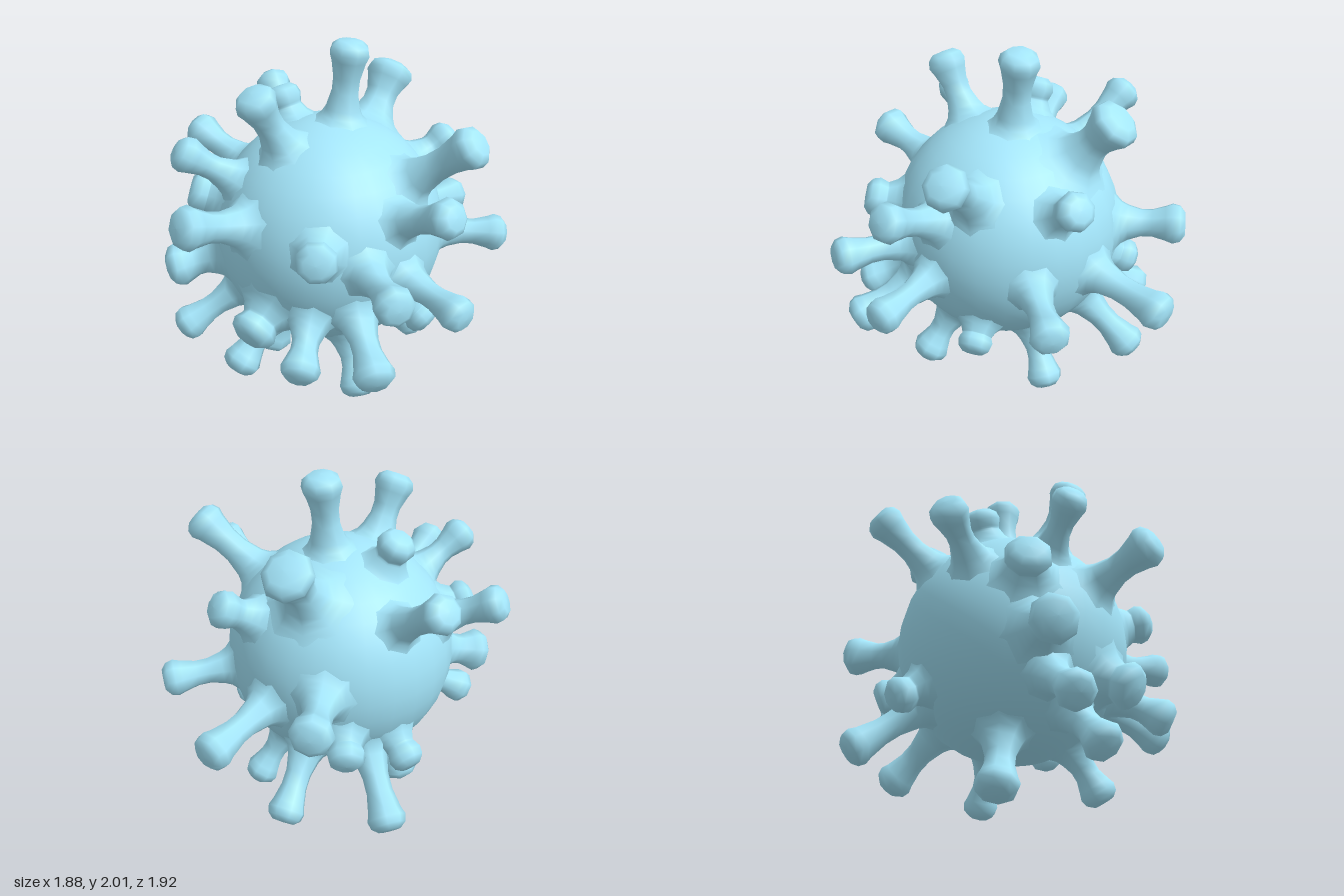
import * as THREE from 'three';

const CENTER = new THREE.Vector3(-0.015, 0.95, 0.04);
const RADIUS = 0.64;

// Head centre of each spike: x, y, z, thickness
const SPIKES = [
  // upper
  [0.07, 1.97, -0.05, 1], [-0.24, 1.81, 0.45, 1], [0.12, 1.7, -0.57, 1.25],
  [-0.34, 1.67, -0.05, 0.95], [-0.64, 1.55, -0.52, 0.95], [-0.63, 1.49, 0.54, 0.9],
  [0.81, 1.61, 0.13, 1.05], [0.8, 1.36, 0.45, 0.95], [0.52, 1.39, -0.45, 0.95],
  [-0.89, 1.37, -0.04, 0.95], [-0.42, 1.27, 0.9, 1.05], [-0.7, 1.16, 0.33, 1.15],
  [0.23, 1.14, 0.76, 1],
  // middle
  [0.65, 1.01, 0.78, 0.95], [0.89, 0.84, 0.48, 0.9], [0.87, 0.86, -0.4, 0.95],
  [-0.08, 1.02, -0.93, 1.05], [0.46, 0.8, -0.9, 1], [-0.79, 0.73, 0.48, 1.15],
  [-0.2, 0.67, -0.66, 0.95], [-0.17, 0.59, 0.73, 1.15], [-0.5, 0.55, -0.44, 0.9],
  // lower
  [0.17, 0.52, 0.85, 0.95], [0.55, 0.54, 0.76, 1], [0.59, 0.48, 0.08, 0.9],
  [-0.7, 0.39, 0.55, 0.95], [-0.33, 0.25, 0.6, 1], [-0.4, 0.05, 0.07, 1.05],
  [-0.44, 0.31, -0.7, 0.95], [0.34, 0.17, 0.44, 0.95], [0.41, 0.16, -0.29, 0.9],
  [0.13, 0.28, -0.73, 0.95],
];

// Foot blending into the core, waisted stem (thicker when short), knobbed blunt head
function spikeGeometry(length, thickness) {
  const foot = RADIUS + 0.05;
  const neck = Math.max(length - 0.11, foot + 0.01);
  const waist = 0.096 - Math.min(0.02, (neck - foot) * 0.12);
  const points = [
    [RADIUS - 0.045, 0.19], [RADIUS - 0.018, 0.15], [RADIUS + 0.012, 0.118], [foot, 0.098],
    [THREE.MathUtils.lerp(foot, neck, 0.35), waist],
    [THREE.MathUtils.lerp(foot, neck, 0.65), waist],
    [neck, 0.096], [length - 0.07, 0.111], [length - 0.03, 0.1],
    [length - 0.003, 0.065], [length, 0],
  ].map(([along, r]) => new THREE.Vector2(r * thickness, along));
  return new THREE.LatheGeometry(points, 8);
}

export function createModel() {
  const model = new THREE.Group();
  model.name = 'spikedBall';
  const material = new THREE.MeshStandardMaterial({ color: 0xa4e6fb });

  // Round core
  const core = new THREE.Mesh(new THREE.SphereGeometry(RADIUS, 28, 18), material);
  core.name = 'core';
  core.position.copy(CENTER);
  model.add(core);

  // Spikes pointing outward from the core
  const up = new THREE.Vector3(0, 1, 0);
  const spikes = new THREE.Group();
  spikes.name = 'spikes';
  SPIKES.forEach(([x, y, z, thickness], i) => {
    const dir = new THREE.Vector3(x, y, z).sub(CENTER);
    const spike = new THREE.Mesh(spikeGeometry(dir.length() + 0.03, thickness), material);
    spike.name = `spike${i + 1}`;
    spike.position.copy(CENTER);
    spike.quaternion.setFromUnitVectors(up, dir.normalize());
    spikes.add(spike);
  });
  model.add(spikes);
  return model;
}
